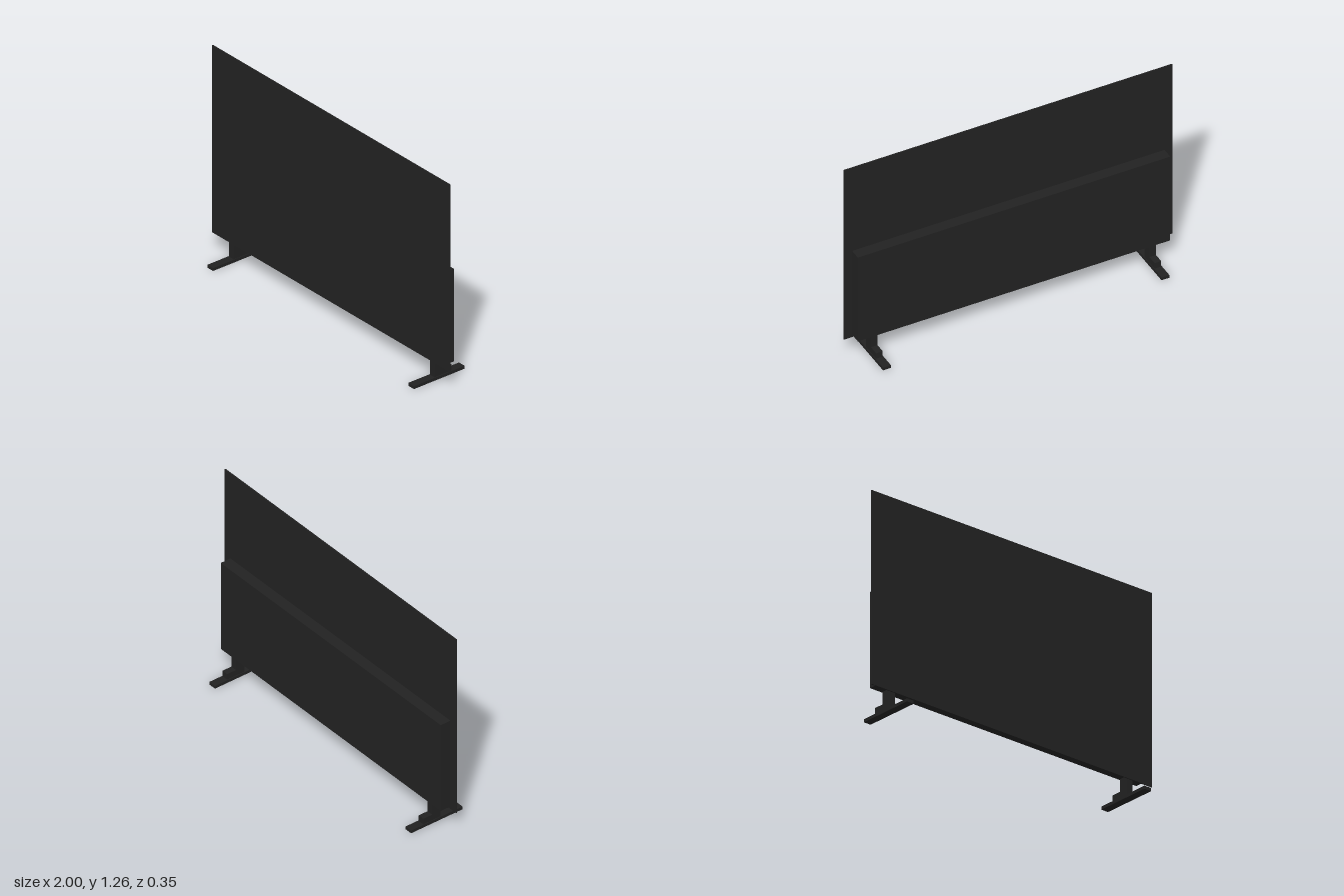
import * as THREE from 'three';

export function createModel() {
  const model = new THREE.Group();
  model.name = 'television';
  const black = new THREE.MeshStandardMaterial({ color: 0x222222 });
  black.name = 'black plastic';

  // Box given by its min and max corners
  const box = (name, [x0, y0, z0], [x1, y1, z1], parent = model) => {
    const mesh = new THREE.Mesh(new THREE.BoxGeometry(x1 - x0, y1 - y0, z1 - z0), black);
    mesh.position.set((x0 + x1) / 2, (y0 + y1) / 2, (z0 + z1) / 2);
    mesh.name = name;
    parent.add(mesh);
  };

  // Thin panel with the deeper electronics housing behind its lower half
  box('screenPanel', [-1, 0.113, 0.03], [1, 1.265, 0.037]);
  box('rearHousing', [-0.95, 0.129, -0.036], [0.95, 0.7, 0.03]);

  // Two stands: flat foot, upright post and a step behind the post
  for (const side of [-1, 1]) {
    const stand = new THREE.Group();
    stand.name = side > 0 ? 'leftStand' : 'rightStand';
    stand.position.x = side * 0.847;
    box('foot', [-0.024, 0, -0.177], [0.024, 0.018, 0.177], stand);
    box('post', [-0.02, 0.018, -0.03], [0.02, 0.129, 0.03], stand);
    box('postStep', [-0.02, 0.018, -0.09], [0.02, 0.055, -0.03], stand);
    model.add(stand);
  }
  return model;
}
